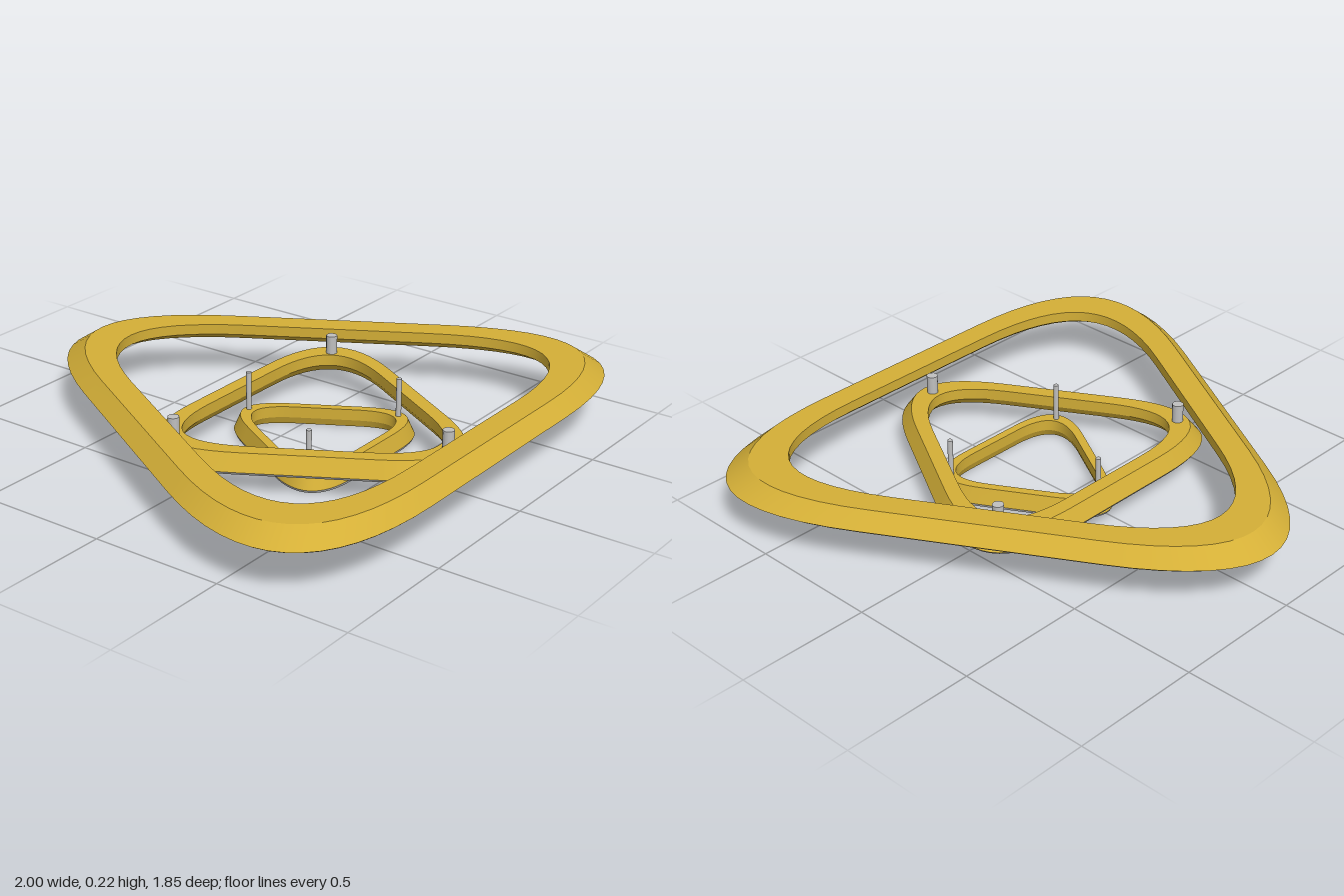
import * as THREE from 'three';

const gold = new THREE.MeshStandardMaterial({ color: 0xd4af37 });
gold.name = 'gold';
const silver = new THREE.MeshStandardMaterial({ color: 0xc0c0c0 });
silver.name = 'silver';

// Unit triangle (circumradius 1, one corner toward +z), each corner rounded
// by a quadratic curve that starts a third of the way along the edges.
function roundedTriangle(steps = 16) {
  const corner = (k) => {
    const a = (k * Math.PI * 2) / 3;
    return new THREE.Vector2(Math.sin(a), Math.cos(a));
  };
  const points = [];
  for (let k = 0; k < 3; k++) {
    const c = corner(k);
    const from = c.clone().lerp(corner(k + 2), 1 / 3);
    const to = c.clone().lerp(corner(k + 1), 1 / 3);
    points.push(...new THREE.QuadraticBezierCurve(from, c, to).getPoints(steps));
  }
  return points;
}

const outline = roundedTriangle();

// Closed strip between two scaled copies of the outline, smooth along its length
function band([r0, y0], [r1, y1], dir) {
  const n = outline.length;
  const pos = [];
  const index = [];
  outline.forEach((p, i) => {
    pos.push(dir * p.x * r0, y0, dir * p.y * r0, dir * p.x * r1, y1, dir * p.y * r1);
    const a = 2 * i;
    const b = 2 * ((i + 1) % n);
    index.push(a, b, b + 1, a, b + 1, a + 1);
  });
  const g = new THREE.BufferGeometry();
  g.setAttribute('position', new THREE.Float32BufferAttribute(pos, 3));
  g.setIndex(index);
  g.computeVertexNormals();
  return g;
}

// Bevelled triangular frame: gold body with a silver underside
function ring(name, R, y, h, z, dir) {
  const group = new THREE.Group();
  group.name = name;
  group.position.set(0, y, z);
  const profile = [
    [R * 0.985, 0], [R, 0.01], [R * 0.925, h], [R * 0.797, h],
    [R * 0.797, h * 0.4], [R * 0.84, 0],
  ];
  const parts = ['lowerLip', 'outerBevel', 'topFace', 'innerWall', 'innerBevel', 'underside'];
  parts.forEach((part, i) => {
    const g = band(profile[i], profile[(i + 1) % profile.length], dir);
    const mesh = new THREE.Mesh(g, part === 'underside' || part === 'lowerLip' ? silver : gold);
    mesh.name = part;
    group.add(mesh);
  });
  return group;
}

// Three upright pins at the corners of a ring
function pins(name, spots, radius, bottom, top) {
  const group = new THREE.Group();
  group.name = name;
  const g = new THREE.CylinderGeometry(radius, radius, top - bottom, 12);
  for (const [x, z] of spots) {
    const pin = new THREE.Mesh(g, silver);
    pin.name = 'pin';
    pin.position.set(x, (top + bottom) / 2, z);
    group.add(pin);
  }
  return group;
}

export function createModel() {
  const model = new THREE.Group();
  model.name = 'tieredTriangleFrame';

  // Stacked frames, the middle one turned half round
  model.add(ring('largeRing', 1.483, 0.16, 0.065, 0.183, -1));
  model.add(ring('middleRing', 0.848, 0.08, 0.07, 0.165, 1));
  model.add(ring('smallRing', 0.488, 0, 0.07, 0.176, -1));

  // Supporting pins
  model.add(pins('middlePins', [[-0.475, -0.105], [0.46, -0.105], [0, 0.71]], 0.021, 0.12, 0.22));
  model.add(pins('smallPins', [[-0.275, 0.325], [0.275, 0.325], [0, -0.145]], 0.01, 0.04, 0.215));
  return model;
}
